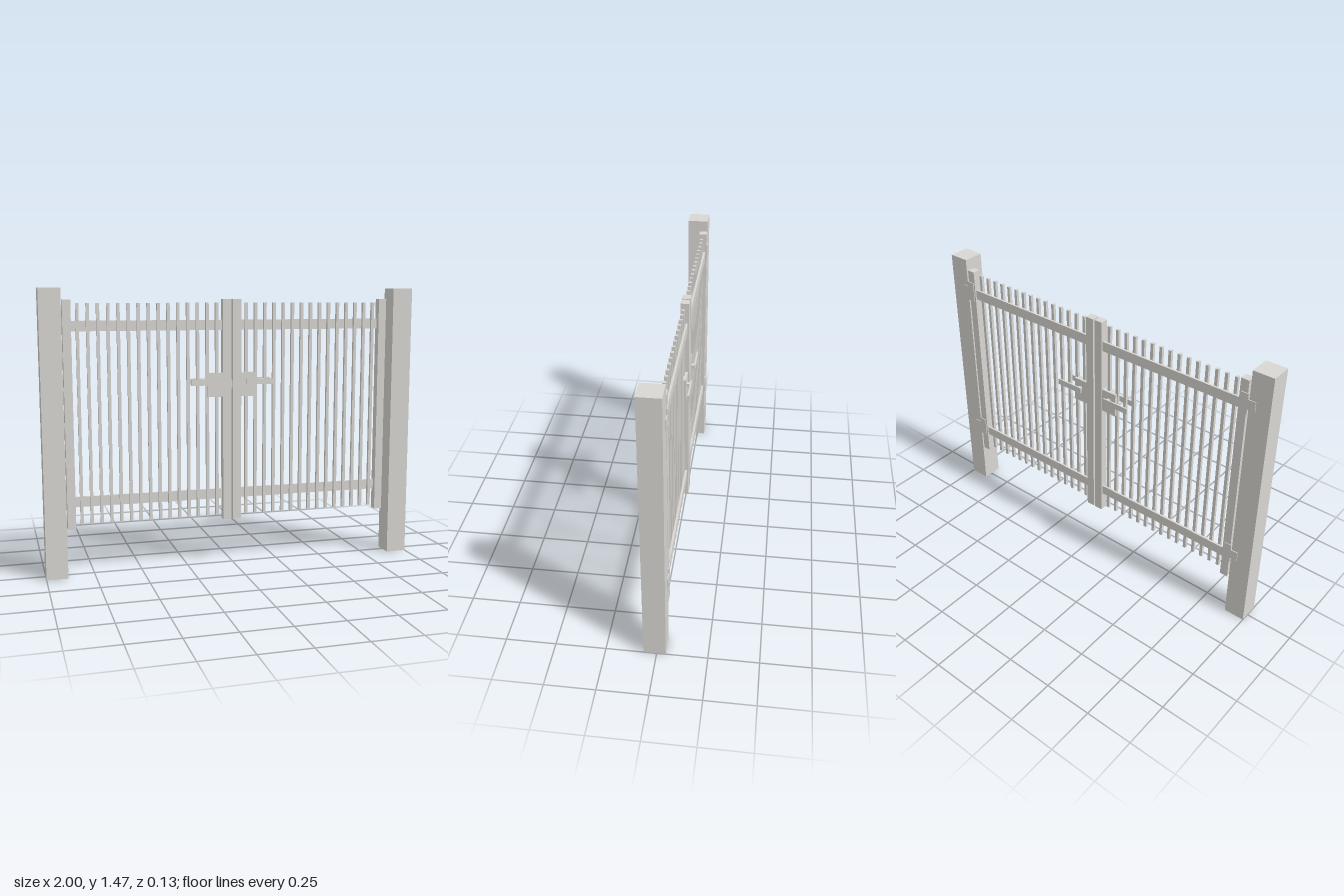
import * as THREE from 'three';

export function createModel() {
  const gate = new THREE.Group();
  gate.name = 'doubleGate';
  const metal = new THREE.MeshStandardMaterial({ color: 0xd9d7d3 });
  metal.name = 'pale warm grey metal';

  // Box given by its limits on each axis
  function box(parent, name, [x0, x1], [y0, y1], [z0, z1]) {
    const mesh = new THREE.Mesh(new THREE.BoxGeometry(x1 - x0, y1 - y0, z1 - z0), metal);
    mesh.name = name;
    mesh.position.set((x0 + x1) / 2, (y0 + y1) / 2, (z0 + z1) / 2);
    parent.add(mesh);
  }

  // Limits mirrored in x for the right-hand side
  const mirrored = (side, a, b) => (side > 0 ? [a, b] : [-b, -a]);

  for (const side of [1, -1]) {
    const label = side > 0 ? 'left' : 'right';
    const add = (parent, name, a, b, y, z) => box(parent, name, mirrored(side, a, b), y, z);

    // Ground post
    add(gate, label + 'Post', 0.89, 1, [0, 1.472], [-0.045, 0.065]);

    // Leaf frame
    const leaf = new THREE.Group();
    leaf.name = label + 'Leaf';
    gate.add(leaf);
    add(leaf, 'outerStile', 0.837, 0.88, [0.237, 1.415], [-0.045, -0.003]);
    add(leaf, 'innerStile', 0.005, 0.05, [0.237, 1.415], [-0.045, -0.003]);
    for (const y of [0.35, 1.255]) {
      add(leaf, 'rail', 0.045, 0.84, [y, y + 0.053], [-0.038, -0.027]);
    }

    // Upright bars
    for (let i = 0; i < 15; i++) {
      const x = 0.081 + i * 0.0517;
      add(leaf, 'bar', x - 0.008, x + 0.008, [0.26, 1.397], [-0.027, -0.011]);
    }

    // Hinges on the back: tall plate, with a strap across to the post
    for (const y of [0.4, 1.295]) {
      const hinge = new THREE.Group();
      hinge.name = 'hinge';
      leaf.add(hinge);
      add(hinge, 'hingePlate', 0.845, 0.886, [y - 0.055, y + 0.055], [-0.049, -0.045]);
      add(hinge, 'hingeStrap', 0.885, 0.925, [y - 0.026, y + 0.026], [-0.049, -0.045]);
    }

    // Lock case with a lever on each face
    add(leaf, 'lockCase', 0.045, 0.135, [0.903, 1.03], [-0.04, -0.009]);
    add(leaf, 'handleSpindle', 0.085, 0.103, [0.972, 0.992], [-0.06, 0.012]);
    add(leaf, 'backHandle', 0.075, 0.226, [0.967, 0.998], [-0.065, -0.057]);
    add(leaf, 'frontHandle', 0.075, 0.226, [0.967, 0.998], [0.009, 0.017]);
  }

  // Latch bolt bridging the centre gap
  box(gate, 'latchBolt', [-0.008, 0.008], [0.945, 0.99], [-0.031, -0.018]);

  return gate;
}
